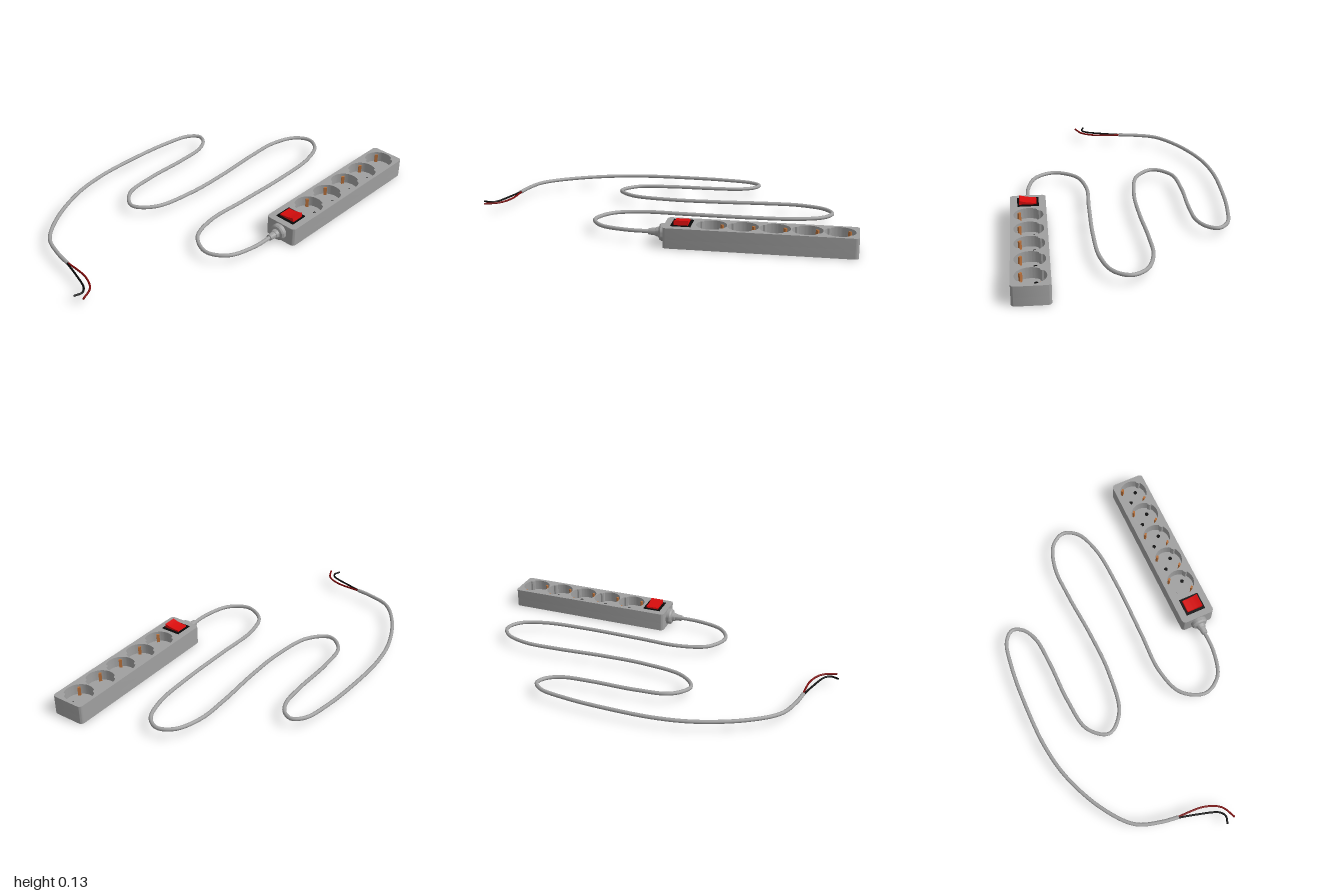
import * as THREE from 'three';
import { toCreasedNormals } from 'three/addons/utils/BufferGeometryUtils.js';

const material = (name, color) => {
  const m = new THREE.MeshStandardMaterial({ color });
  m.name = name;
  return m;
};

export function createModel() {
  const grey = material('grey plastic', 0xa0a0a0);
  const black = material('black plastic', 0x080808);
  const red = material('switch red', 0xd80c0c);
  const wireRed = material('wire red', 0x7a0a0a);
  const copper = material('copper', 0xb8703a);

  const model = new THREE.Group();
  model.name = 'powerStrip';
  const add = (parent, name, geometry, mat, x = 0, y = 0, z = 0) => {
    const mesh = new THREE.Mesh(geometry, mat);
    mesh.name = name;
    mesh.position.set(x, y, z);
    parent.add(mesh);
    return mesh;
  };

  // Housing measurements
  const cx = 0.48, halfW = 0.092, zBack = -0.998, zFront = -0.066;
  const height = 0.102, floorY = 0.045, cornerR = 0.02;
  const socketZ = [-0.907, -0.754, -0.6, -0.447, -0.294];

  // Rounded outline in plan; shape y is -z
  const outline = () => {
    const l = cx - halfW, r = cx + halfW, b = -zFront, t = -zBack, c = cornerR;
    const s = new THREE.Shape();
    s.moveTo(l + c, b);
    s.lineTo(r - c, b);
    s.absarc(r - c, b + c, c, -Math.PI / 2, 0, false);
    s.lineTo(r, t - c);
    s.absarc(r - c, t - c, c, 0, Math.PI / 2, false);
    s.lineTo(l + c, t);
    s.absarc(l + c, t - c, c, Math.PI / 2, Math.PI, false);
    s.lineTo(l, b + c);
    s.absarc(l + c, b + c, c, Math.PI, Math.PI * 1.5, false);
    return s;
  };
  const slab = (shape, depth) => {
    const g = new THREE.ExtrudeGeometry(shape, { depth, bevelEnabled: false, curveSegments: 8 });
    g.rotateX(-Math.PI / 2);
    return toCreasedNormals(g, 0.6);
  };

  // Round socket well with two guide ribs and small notches beside them
  const well = (z) => {
    const points = [];
    const n = 72;
    for (let i = 0; i < n; i++) {
      const a = -(i / n) * Math.PI * 2;
      const rib = Math.abs(Math.cos(a - Math.PI / 4));
      const r = rib > 0.985 ? 0.068 : 0.075;
      points.push(new THREE.Vector2(cx + r * Math.cos(a), -z + r * Math.sin(a)));
    }
    return new THREE.Path(points);
  };

  // Housing: solid base and pierced upper part
  add(model, 'housingBase', slab(outline(), floorY), grey);
  const upper = outline();
  upper.holes.push(...socketZ.map(well));
  add(model, 'housingTop', slab(upper, height - floorY), grey, 0, floorY, 0);

  // Socket fittings: pin holes on one diagonal, earth clips on the other
  socketZ.forEach((z, i) => {
    const socket = new THREE.Group();
    socket.name = 'socket' + (i + 1);
    socket.position.set(cx, floorY, z);
    for (const s of [-1, 1]) {
      const plugged = i === socketZ.length - 1 && s < 0;
      add(socket, 'pinHole', new THREE.CylinderGeometry(0.01, 0.01, 0.004, 16),
        plugged ? grey : black, s * 0.025, 0.002, -s * 0.025);
      const clip = add(socket, 'earthClip', new THREE.BoxGeometry(0.016, 0.046, 0.01),
        copper, s * 0.046, 0.023, s * 0.046);
      clip.rotation.y = Math.PI / 4;
    }
    model.add(socket);
  });

  // Rocker switch with a concave top
  add(model, 'switchFrame', new THREE.BoxGeometry(0.11, 0.008, 0.098), black, cx, height, -0.15);
  const rocker = new THREE.Shape();
  rocker.moveTo(-0.045, 0);
  rocker.lineTo(0.047, 0);
  rocker.lineTo(0.043, 0.026);
  rocker.quadraticCurveTo(0.005, 0.012, -0.042, 0.012);
  const rockerGeo = new THREE.ExtrudeGeometry(rocker, { depth: 0.07, bevelEnabled: false, curveSegments: 12 });
  add(model, 'switchRocker', toCreasedNormals(rockerGeo, 0.5), red, cx, height, -0.185);

  // Stepped strain relief where the cable leaves the housing
  const cableY = 0.053;
  const profile = [[0, -0.075], [0.044, -0.075], [0.044, -0.048], [0.038, -0.04], [0.026, -0.036],
    [0.022, -0.02], [0.019, -0.018], [0.016, 0.016], [0, 0.016]]
    .map(([r, z]) => new THREE.Vector2(r, z));
  const relief = new THREE.LatheGeometry(profile, 32);
  relief.rotateX(Math.PI / 2);
  add(model, 'strainRelief', toCreasedNormals(relief, 0.5), grey, cx, cableY, 0);

  // Cable and bare wires lie in one level plane
  const tube = (name, plan, radius, segments, mat) => {
    const pts = plan.map(([x, z]) => new THREE.Vector3(x, cableY, z));
    const curve = new THREE.CatmullRomCurve3(pts, false, 'centripetal');
    add(model, name, new THREE.TubeGeometry(curve, segments, radius, 12), mat);
    [0, 1].forEach((t) => {
      const cap = add(model, name + 'End', new THREE.CircleGeometry(radius, 12), mat);
      const p = curve.getPointAt(t);
      const dir = curve.getTangentAt(t).multiplyScalar(t ? 1 : -1);
      cap.position.copy(p);
      cap.lookAt(p.clone().add(dir));
    });
  };
  tube('cable', [
    [0.481, -0.01], [0.475, 0.135], [0.43, 0.267], [0.332, 0.323], [0.214, 0.262], [0.163, 0.11],
    [0.165, -0.13], [0.167, -0.447], [0.15, -0.685], [0.098, -0.82], [0.022, -0.862],
    [-0.055, -0.817], [-0.103, -0.685], [-0.104, -0.5], [-0.087, -0.235], [-0.087, 0.003],
    [-0.13, 0.23], [-0.225, 0.312], [-0.32, 0.24], [-0.35, 0.055], [-0.353, -0.18],
    [-0.368, -0.34], [-0.41, -0.415], [-0.463, -0.438], [-0.515, -0.39], [-0.548, -0.235],
    [-0.563, 0], [-0.558, 0.24], [-0.52, 0.437], [-0.42, 0.66], [-0.304, 0.8],
    [-0.18, 0.845], [-0.087, 0.86],
  ], 0.01, 360, grey);
  tube('redWire', [[-0.1, 0.857], [0.055, 0.867], [0.135, 0.907], [0.172, 0.978]], 0.005, 40, wireRed);
  tube('blackWire', [[-0.1, 0.86], [0, 0.886], [0.113, 0.926], [0.133, 0.955], [0.123, 0.995]], 0.005, 48, black);

  return model;
}
